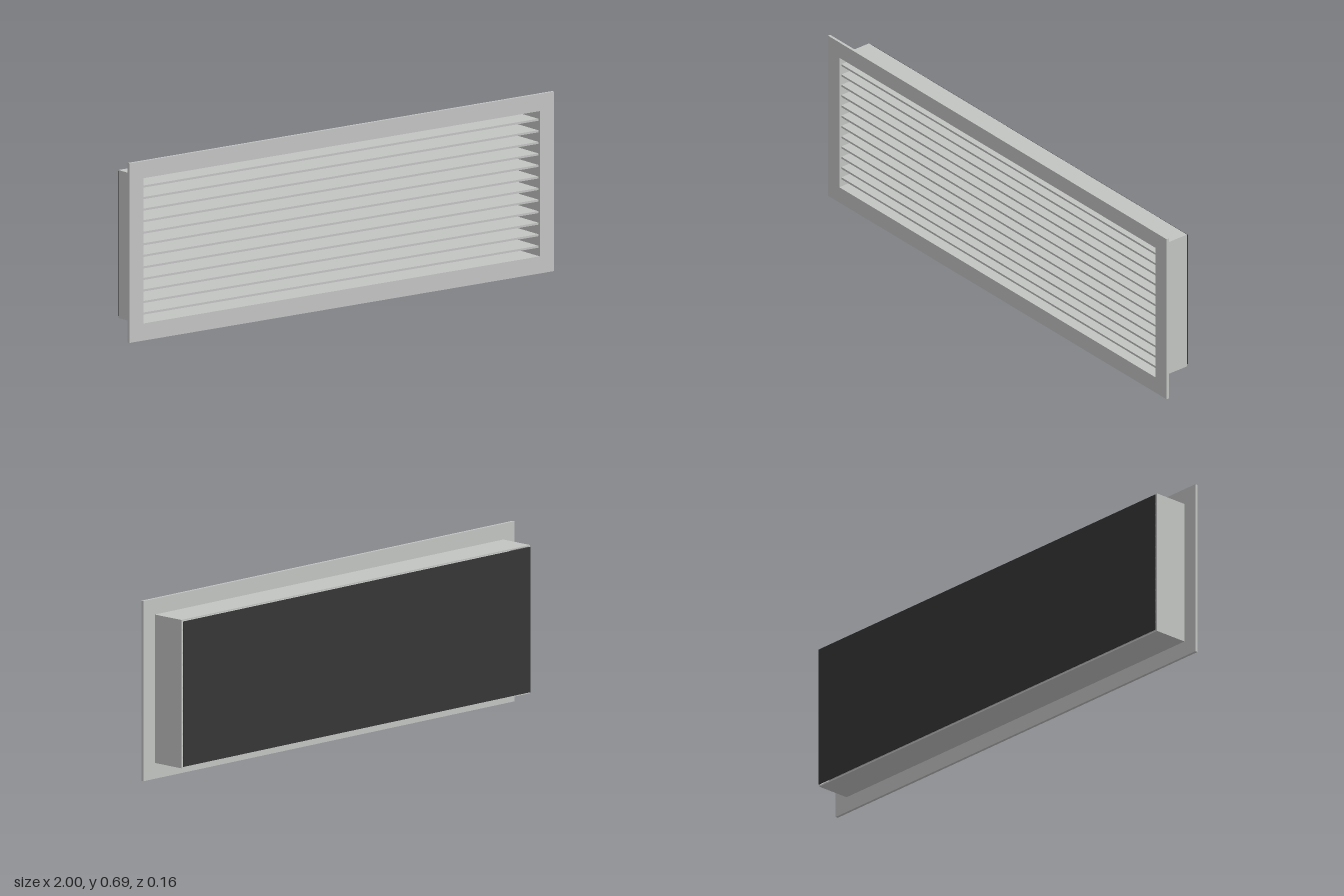
import * as THREE from 'three';

const CY = 0.346; // mid height of the grille

// Rectangular ring extruded along z
function ring(w, h, innerW, innerH, z0, z1) {
  const path = (p, a, b) => {
    p.moveTo(-a / 2, -b / 2);
    p.lineTo(a / 2, -b / 2);
    p.lineTo(a / 2, b / 2);
    p.lineTo(-a / 2, b / 2);
    p.closePath();
    return p;
  };
  const shape = path(new THREE.Shape(), w, h);
  shape.holes.push(path(new THREE.Path(), innerW, innerH));
  const g = new THREE.ExtrudeGeometry(shape, { depth: z1 - z0, bevelEnabled: false });
  return g.translate(0, CY, z0);
}

export function createModel() {
  const metal = new THREE.MeshStandardMaterial({ color: 0xc2c4c2 });
  metal.name = 'light grey metal';
  const dark = new THREE.MeshStandardMaterial({ color: 0x363636 });
  dark.name = 'dark backing';

  const model = new THREE.Group();
  model.name = 'ventGrille';
  const add = (name, geometry, material, parent = model) => {
    const mesh = new THREE.Mesh(geometry, material);
    mesh.name = name;
    parent.add(mesh);
    return mesh;
  };

  // Flange around the opening and the duct collar behind it
  add('frontFlange', ring(2, 0.692, 1.866, 0.56, 0.068, 0.079), metal);
  add('ductCollar', ring(1.878, 0.57, 1.866, 0.56, -0.071, 0.068), metal);

  // Horizontal slats
  const slats = new THREE.Group();
  slats.name = 'slats';
  model.add(slats);
  const count = 12, pitch = 0.0445;
  const slatGeometry = new THREE.BoxGeometry(1.866, 0.008, 0.138);
  for (let i = 0; i < count; i++) {
    const slat = add('slat', slatGeometry, metal, slats);
    slat.position.set(0, CY + (i - (count - 1) / 2) * pitch, 0);
  }

  // Thin backing sheet, slightly clear of the collar
  const back = add('backPanel', new THREE.BoxGeometry(1.87, 0.558, 0.004), dark);
  back.position.set(0, CY, -0.077);

  return model;
}
